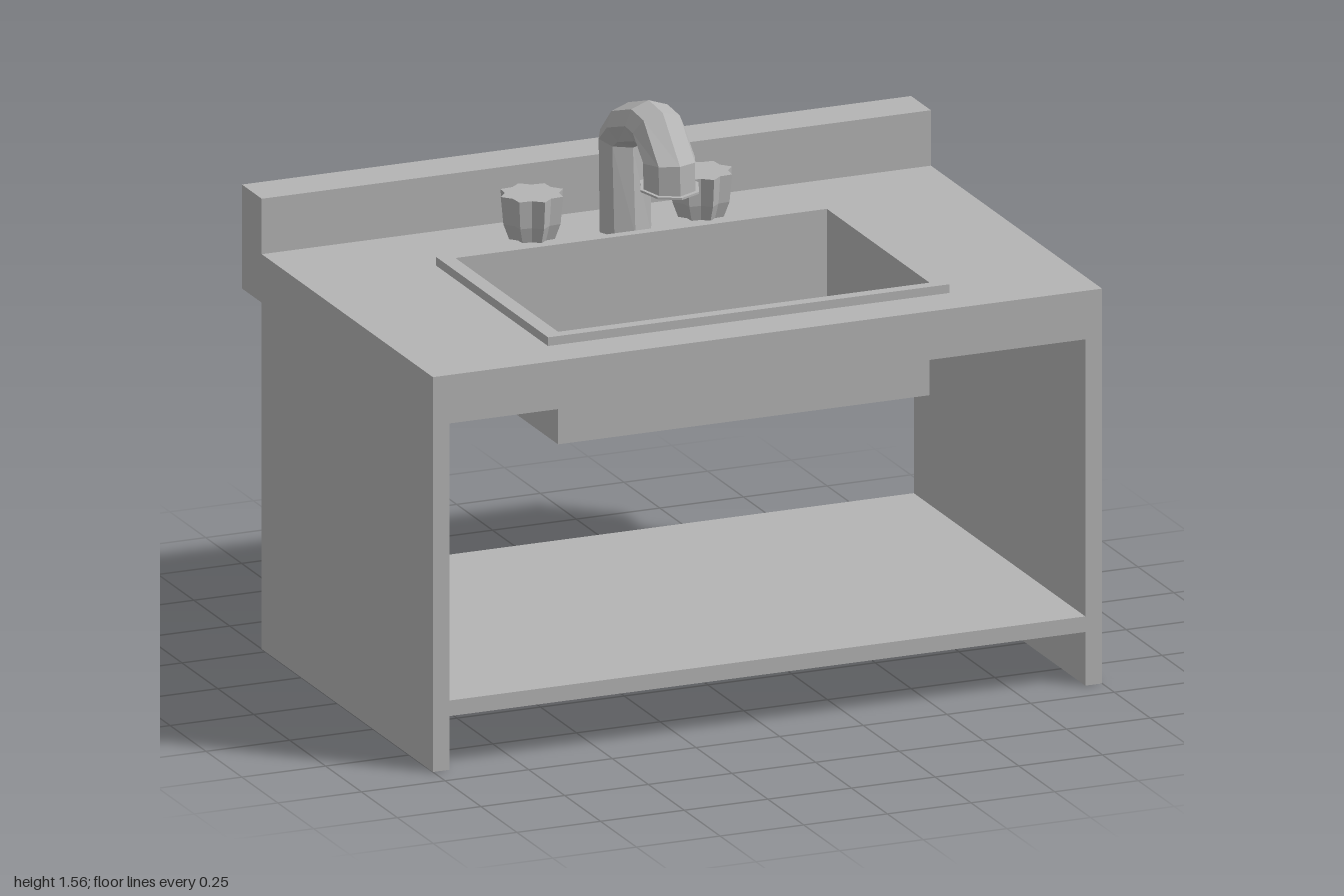
import * as THREE from 'three';

const grey = new THREE.MeshStandardMaterial({ color: 0xb4b4b4 });
grey.name = 'plain grey';
grey.flatShading = true;
grey.side = THREE.DoubleSide;

// Skin a series of closed cross-sections, optionally capping the ends
function loft(sections, capStart, capEnd) {
  const pos = [];
  const tri = (...pts) => pts.forEach((p) => pos.push(p.x, p.y, p.z));
  const n = sections[0].length;
  for (let s = 0; s < sections.length - 1; s++) {
    const a = sections[s], b = sections[s + 1];
    for (let i = 0; i < n; i++) {
      const j = (i + 1) % n;
      tri(a[i], a[j], b[j]);
      tri(a[i], b[j], b[i]);
    }
  }
  const cap = (sec, flip) => {
    const c = sec.reduce((t, p) => t.add(p), new THREE.Vector3()).divideScalar(n);
    sec.forEach((p, i) => {
      const q = sec[(i + 1) % n];
      if (flip) tri(c, q, p); else tri(c, p, q);
    });
  };
  if (capStart) cap(sections[0], true);
  if (capEnd) cap(sections[sections.length - 1], false);
  const g = new THREE.BufferGeometry();
  g.setAttribute('position', new THREE.Float32BufferAttribute(pos, 3));
  g.computeVertexNormals();
  return g;
}

// Horizontal rectangle, counter-clockwise seen from above
const rect = (hx, back, front, y) => [[-hx, front], [hx, front], [hx, back], [-hx, back]]
  .map(([x, z]) => new THREE.Vector3(x, y, z));

// Ring spanning an outer and an inner [z, y] point of the spout
function ring([oz, oy], [iz, iy], halfWidth, sides = 8) {
  const pts = [];
  for (let i = 0; i < sides; i++) {
    const a = (i / sides) * Math.PI * 2;
    const t = (1 - Math.cos(a)) / 2;
    pts.push(new THREE.Vector3(0.007 + Math.sin(a) * halfWidth, oy + (iy - oy) * t, oz + (iz - oz) * t));
  }
  return pts;
}

// Eight-pointed star outline for the tap handles
function star(radius, y) {
  const pts = [];
  for (let i = 0; i < 16; i++) {
    const a = (i / 16) * Math.PI * 2;
    const r = i % 2 ? radius * 0.8 : radius;
    pts.push(new THREE.Vector3(Math.sin(a) * r, y, Math.cos(a) * r));
  }
  return pts;
}

export function createModel() {
  const group = new THREE.Group();
  const add = (name, geometry, x = 0, y = 0, z = 0) => {
    const m = new THREE.Mesh(geometry, grey);
    m.name = name;
    m.position.set(x, y, z);
    group.add(m);
  };
  const box = (name, x0, x1, y0, y1, z0, z1) => add(name,
    new THREE.BoxGeometry(x1 - x0, y1 - y0, z1 - z0), (x0 + x1) / 2, (y0 + y1) / 2, (z0 + z1) / 2);

  // Cabinet
  box('leftPanel', 0.95, 1, 0, 1, -0.53, 0.665);
  box('rightPanel', -1, -0.95, 0, 1, -0.53, 0.665);
  box('shelf', -0.95, 0.95, 0.155, 0.2, -0.53, 0.665);
  box('backsplash', -1, 1, 1, 1.3, -0.665, -0.527);

  // Worktop: dipped underside, outer edge, raised rim, then down into the basin
  add('worktopAndBasin', loft([
    rect(0.555, -0.215, 0.5, 0.985),
    rect(1, -0.527, 0.665, 1),
    rect(1, -0.527, 0.665, 1.14),
    rect(0.6, -0.245, 0.535, 1.14),
    rect(0.6, -0.245, 0.535, 1.165),
    rect(0.555, -0.215, 0.5, 1.165),
    rect(0.555, -0.215, 0.5, 0.84),
  ], false, true));

  // Curved spout, from its foot to the outlet
  const spout = [
    [[-0.41, 1.14], [-0.27, 1.14]],
    [[-0.408, 1.425], [-0.288, 1.39]],
    [[-0.32, 1.512], [-0.262, 1.402]],
    [[-0.178, 1.56], [-0.152, 1.437]],
    [[-0.08, 1.552], [-0.14, 1.437]],
    [[0.04, 1.432], [-0.113, 1.425]],
    [[0.042, 1.346], [-0.112, 1.363]],
  ];
  add('spout', loft(spout.map(([o, i]) => ring(o, i, 0.077)), true, true));

  // Thin lip around the outlet
  add('spoutLip', loft([
    ring([0.053, 1.346], [-0.12, 1.364], 0.087),
    ring([0.053, 1.34], [-0.12, 1.358], 0.087),
  ], true, true));

  // Fluted tap handles
  const handle = loft([star(0.068, 1.14), star(0.085, 1.185), star(0.093, 1.265)], true, true);
  add('leftHandle', handle, 0.25, 0, -0.382);
  add('rightHandle', handle, -0.255, 0, -0.382);

  return group;
}
